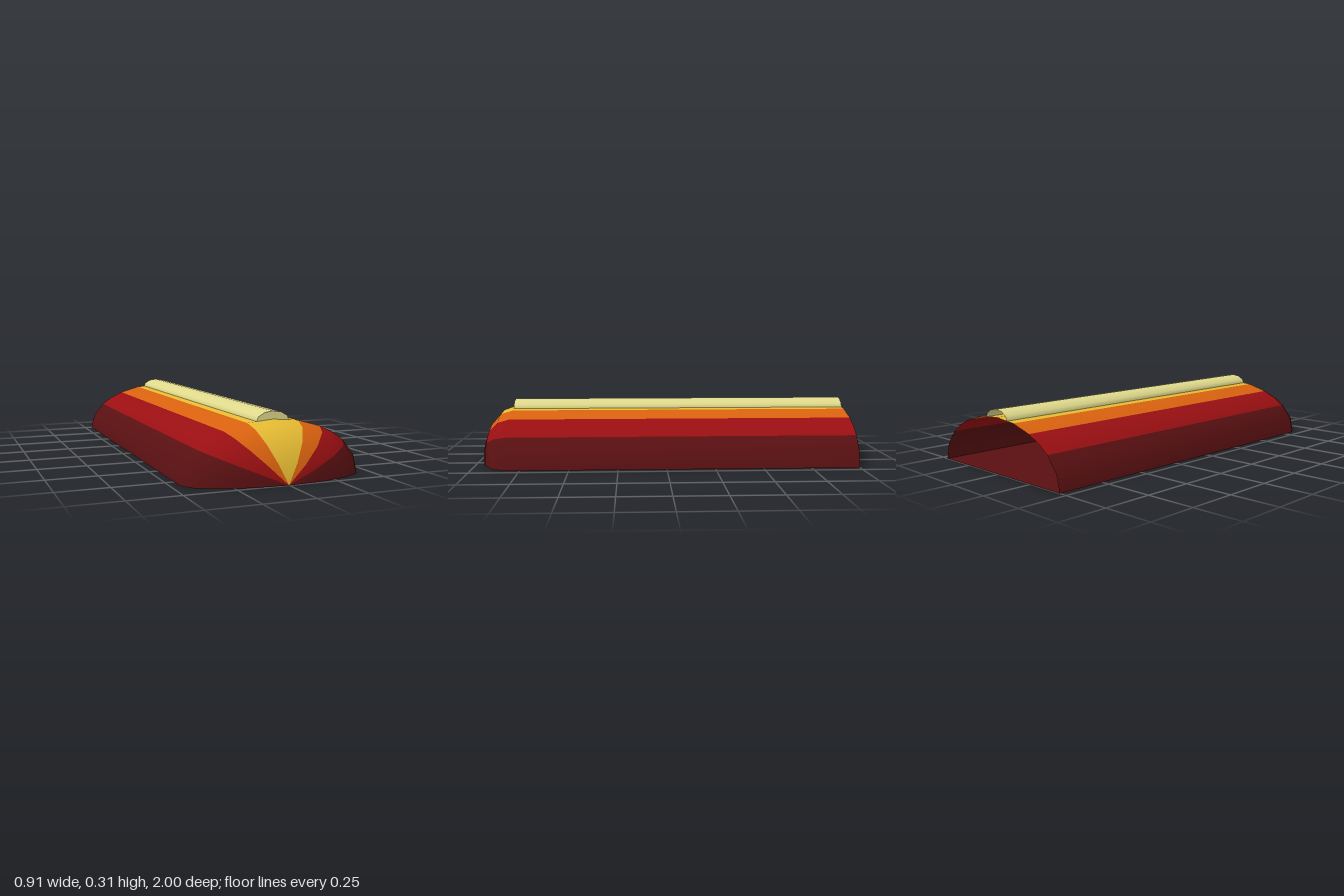
import * as THREE from 'three';

const mat = (name, color) =>
  new THREE.MeshStandardMaterial({ name, color, side: THREE.DoubleSide });

export function createModel() {
  const dark = mat('dark maroon', 0x5a1012);
  const red = mat('deep red', 0x9a0f12);
  const orange = mat('burnt orange', 0xd9620f);
  const yellow = mat('golden yellow', 0xe6bb33);
  const cream = mat('pale cream', 0xe0da8c);

  const model = new THREE.Group();
  model.name = 'stripedShell';
  const add = (name, geometry, material) => {
    const mesh = new THREE.Mesh(geometry, material);
    mesh.name = name;
    model.add(mesh);
  };

  // Arch cross-section, left edge over the top to the right edge
  const half = [[0.457, 0], [0.437, 0.082], [0.376, 0.157], [0.318, 0.198], [0.246, 0.232], [0.13, 0.265]];
  const arch = [...half, [0, 0.276], ...half.map(([x, y]) => [-x, y]).reverse()];
  // Stations along z with the scale of the arch, closing to a point at the nose
  const stations = [[-1, 1], [0.83, 1], [0.897, 0.91], [0.953, 0.68], [0.987, 0.37]];

  // Open-backed shell, one material group per lengthwise strip
  const positions = [];
  for (const [z, s] of stations) for (const [x, y] of arch) positions.push(x * s, y * s, z);
  positions.push(0, 0, 1);
  const n = arch.length, nose = stations.length * n;
  const stripColour = [0, 0, 1, 1, 2, 3, 3, 2, 1, 1, 0, 0];
  const shell = new THREE.BufferGeometry();
  const index = [];
  for (let i = 0; i < n - 1; i++) {
    const start = index.length;
    for (let j = 0; j < stations.length - 1; j++) {
      const a = j * n + i, c = a + n;
      index.push(a, a + 1, c, a + 1, c + 1, c);
    }
    const a = (stations.length - 1) * n + i;
    index.push(a, a + 1, nose);
    shell.addGroup(start, index.length - start, stripColour[i]);
  }
  shell.setAttribute('position', new THREE.Float32BufferAttribute(positions, 3));
  shell.setIndex(index);
  shell.computeVertexNormals();
  add('shell', shell, [dark, red, orange, yellow]);

  // Flat floor following the shell's outline
  const w = half[0][0];
  const outline = [
    ...stations.map(([z, s]) => new THREE.Vector2(w * s, z)),
    new THREE.Vector2(0, 1),
    ...stations.map(([z, s]) => new THREE.Vector2(-w * s, z)).reverse(),
  ];
  add('floor', new THREE.ShapeGeometry(new THREE.Shape(outline)).rotateX(Math.PI / 2), dark);

  // Half-round ridge along the top, open at the back
  const ridgeY = 0.265, rx = 0.085, ry = 0.05, length = 1.83;
  const ridge = new THREE.CylinderGeometry(1, 1, length, 6, 1, true, Math.PI / 2, Math.PI)
    .rotateX(Math.PI / 2)
    .scale(rx, ry, 1)
    .translate(0, ridgeY, -1 + length / 2);
  add('ridge', ridge, cream);

  // Front end of the ridge
  const cap = new THREE.CircleGeometry(1, 6, 0, Math.PI)
    .scale(rx, ry, 1)
    .translate(0, ridgeY, -1 + length);
  add('ridgeFrontCap', cap, cream);

  return model;
}
